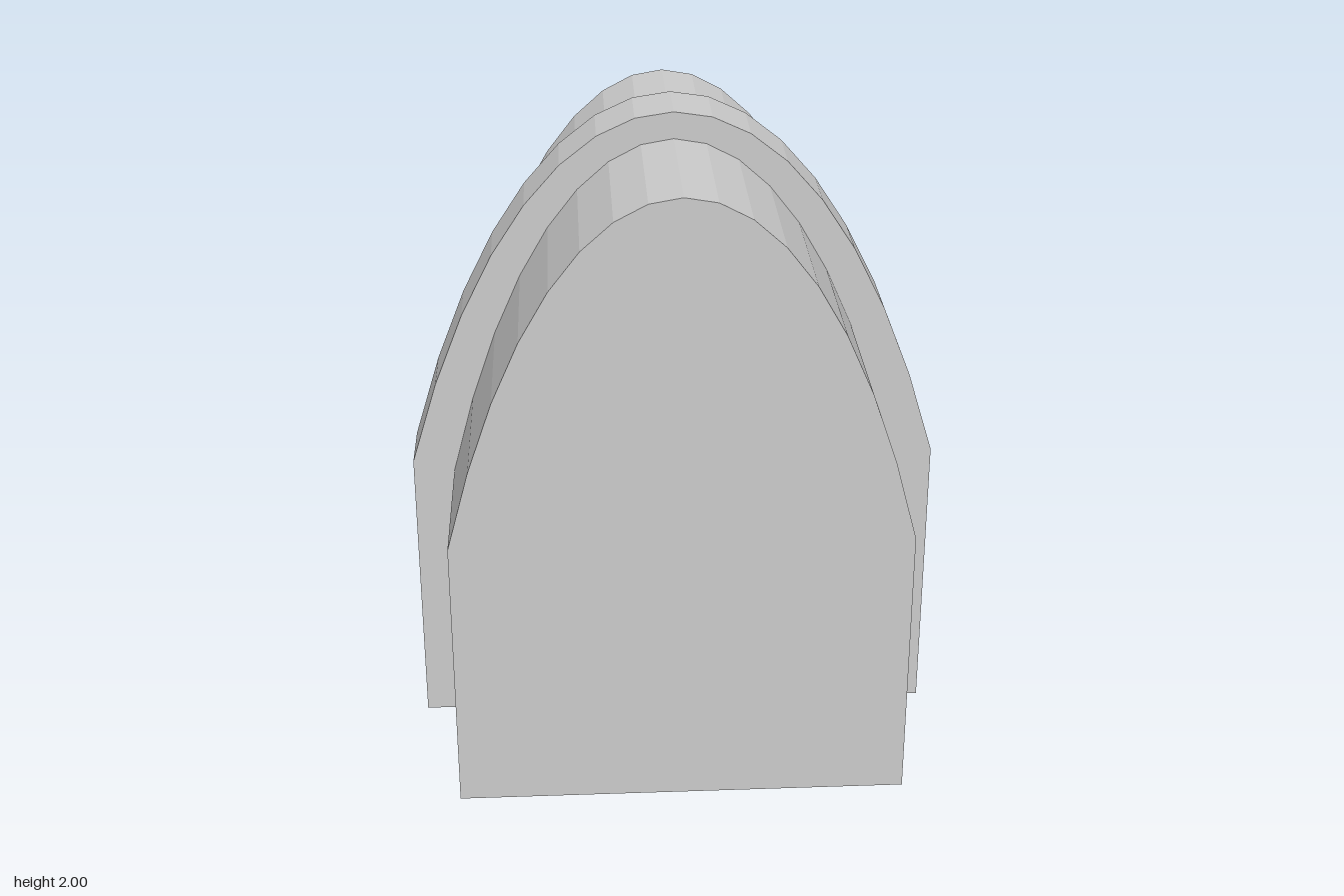
import * as THREE from 'three';

const material = new THREE.MeshStandardMaterial({ color: 0xcccccc, flatShading: true });

// Pointed-arch outline from right foot, over the crown, to left foot
function archPoints(sx, sy) {
  const v = (x, y) => new THREE.Vector2(x * sx, y * sy);
  const crown = new THREE.CubicBezierCurve(v(0.8, 0.9), v(0.4, 2.367), v(-0.4, 2.367), v(-0.8, 0.9));
  return [v(0.8, 0), ...crown.getPoints(16), v(-0.8, 0)];
}

// Extrude an outline along z, centred on z = 0
function slab(name, points, depth) {
  const geometry = new THREE.ExtrudeGeometry(new THREE.Shape(points), { depth, bevelEnabled: false });
  geometry.translate(0, 0, -depth / 2);
  const mesh = new THREE.Mesh(geometry, material);
  mesh.name = name;
  return mesh;
}

export function createModel() {
  const group = new THREE.Group();
  group.name = 'archedBlock';

  const inner = archPoints(0.845, 0.96);
  const outer = archPoints(1, 1);

  // Solid vaulted body
  group.add(slab('vaultBody', inner, 1.2));

  // Raised rib wrapping the middle of the body, flush at the base
  group.add(slab('middleRib', [...outer, ...inner.slice().reverse()], 0.2));

  return group;
}
